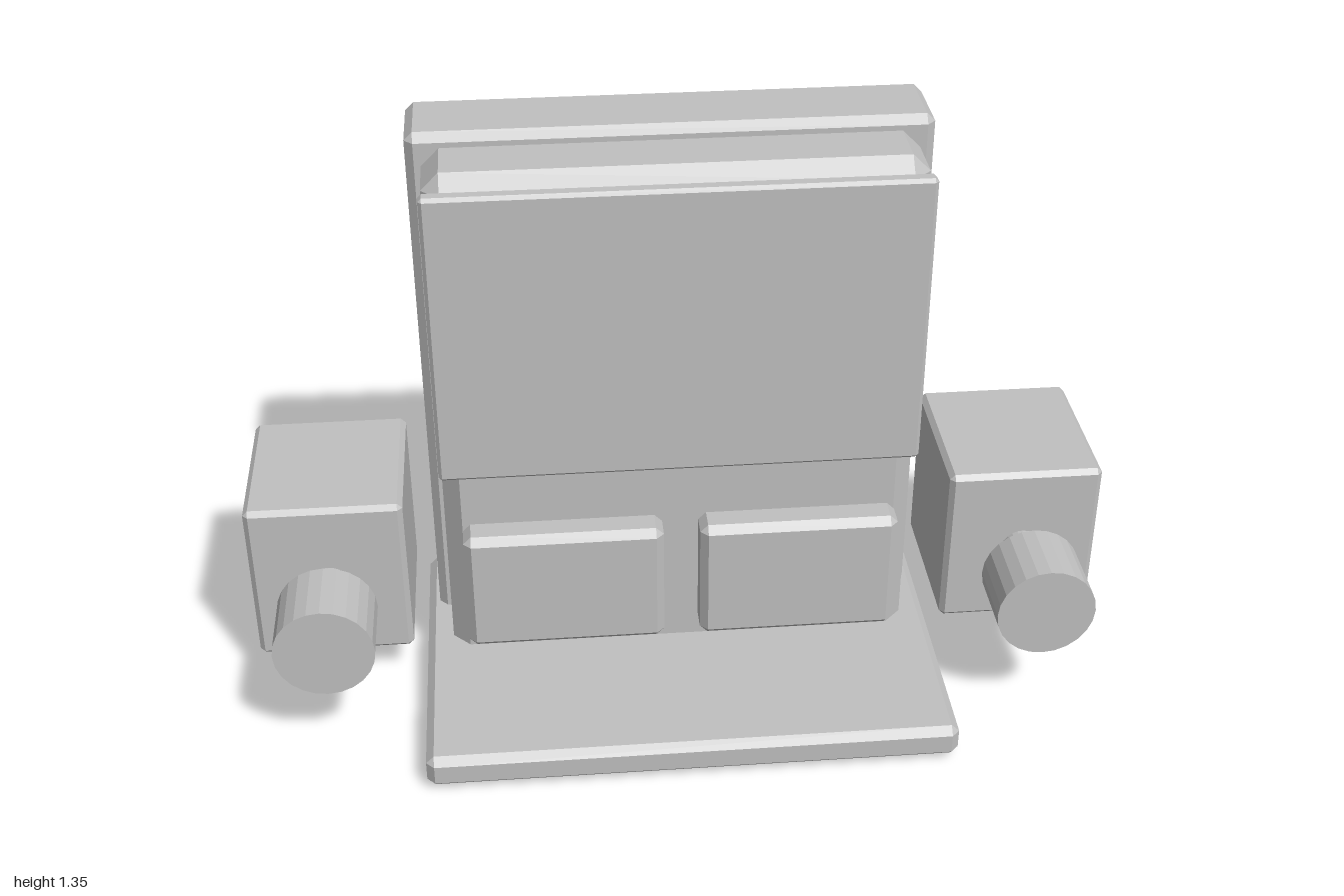
import * as THREE from 'three';
import { ConvexGeometry } from 'three/addons/geometries/ConvexGeometry.js';

const grey = new THREE.MeshStandardMaterial({ color: 0xc0c0c0 });
grey.name = 'plain grey';
grey.flatShading = true;

function addMesh(parent, name, geometry) {
  const mesh = new THREE.Mesh(geometry, grey);
  mesh.name = name;
  parent.add(mesh);
  return mesh;
}

// Box between two corners with all twelve edges chamfered by c
function chamferBox(parent, name, min, max, c) {
  const half = max.map((v, i) => (v - min[i]) / 2);
  const points = [];
  for (const sx of [-1, 1]) for (const sy of [-1, 1]) for (const sz of [-1, 1]) {
    for (let axis = 0; axis < 3; axis++) {
      const d = half.map((h, i) => (i === axis ? h : h - c));
      points.push(new THREE.Vector3(sx * d[0], sy * d[1], sz * d[2]));
    }
  }
  const mesh = addMesh(parent, name, new ConvexGeometry(points));
  mesh.position.set(...max.map((v, i) => (v + min[i]) / 2));
  return mesh;
}

// Cylinder lying along z, from z0 to z1
function rod(parent, name, x, y, z0, z1, radius) {
  const geometry = new THREE.CylinderGeometry(radius, radius, z1 - z0, 24);
  geometry.rotateX(Math.PI / 2);
  addMesh(parent, name, geometry).position.set(x, y, (z0 + z1) / 2);
}

export function createModel() {
  const model = new THREE.Group();
  model.name = 'console';

  // Base and upright slabs
  chamferBox(model, 'basePlate', [-0.605, 0.01, -0.385], [0.605, 0.092, 0.402], 0.018);
  chamferBox(model, 'backSlab', [-0.577, 0, -0.368], [0.577, 1.346, -0.17], 0.019);
  chamferBox(model, 'middleSlab', [-0.543, 0.03, -0.21], [0.543, 1.315, -0.008], 0.04);
  chamferBox(model, 'frontPanel', [-0.547, 0.588, -0.01], [0.547, 1.29, 0.028], 0.008);

  // Paired parts, mirrored left and right
  for (const [side, s] of [['left', 1], ['right', -1]]) {
    const box = (name, x0, x1, y0, y1, z0, z1, c) => chamferBox(model, `${side}${name}`,
      [Math.min(s * x0, s * x1), y0, z0], [Math.max(s * x0, s * x1), y1, z1], c);

    box('Pad', 0.042, 0.502, 0.145, 0.453, -0.012, 0.076, 0.018);
    box('SideBox', 0.637, 1.0, 0.094, 0.502, -0.4, -0.01, 0.012);
    box('Foot', 0.725, 0.92, 0.082, 0.1, -0.197, -0.177, 0.003);
    rod(model, `${side}KnobStem`, s * 0.818, 0.298, -0.002, 0.09, 0.048);
    rod(model, `${side}Knob`, s * 0.818, 0.298, 0.09, 0.256, 0.114);
  }
  return model;
}
